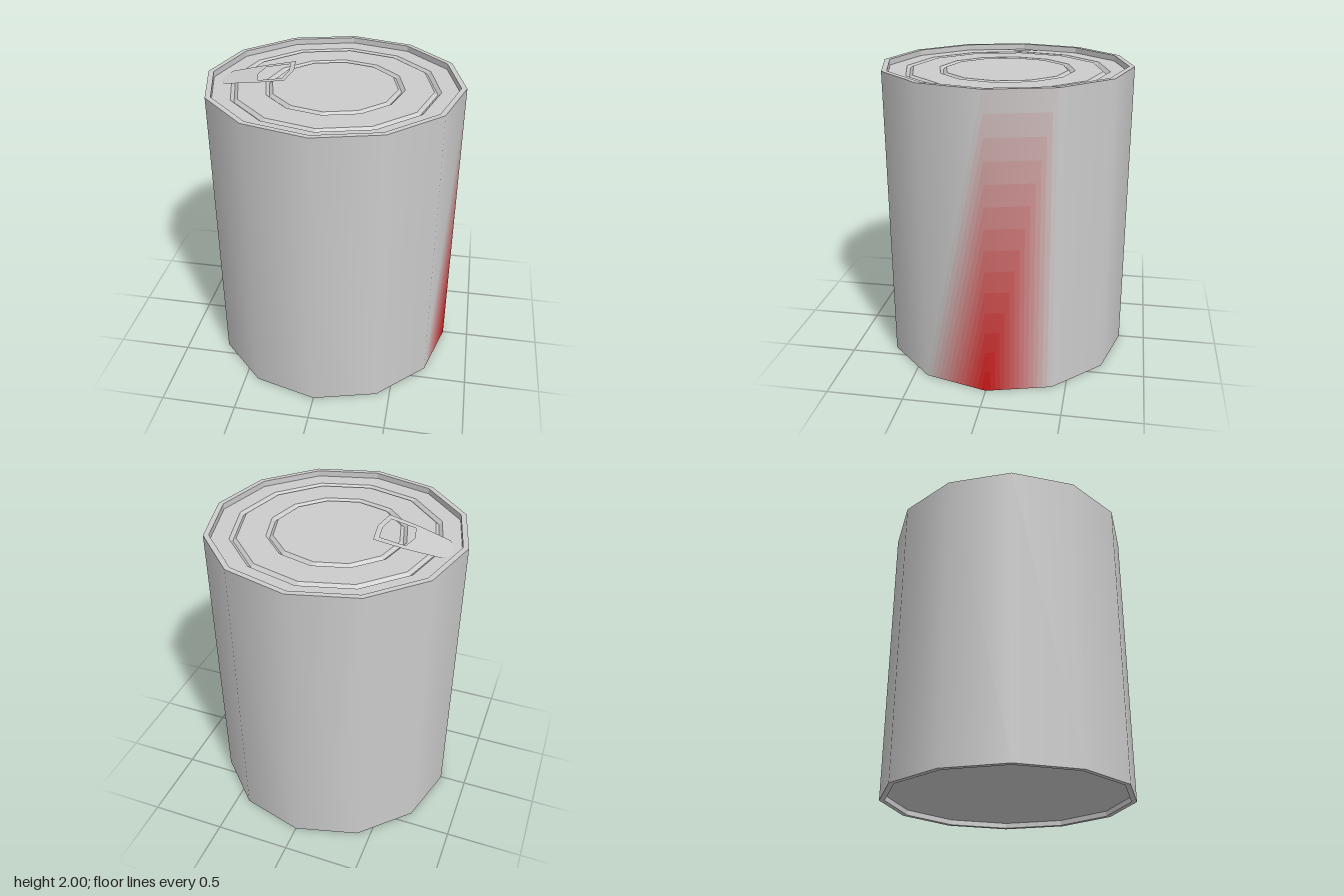
import * as THREE from 'three';

const SIDES = 12;
const STEP = (Math.PI * 2) / SIDES;
const R = 0.825;        // outer radius
const RIM = 0.79;       // inner radius of both rims
const H = 1.955;        // wall height
const LID = 1.917;      // height of the recessed lid
const BANDS = 14;       // colour steps in the red fade

const grey = () => new THREE.MeshStandardMaterial({ color: 0xcccccc });

function addMesh(group, name, geometry, material) {
  const mesh = new THREE.Mesh(geometry, material);
  mesh.name = name;
  group.add(mesh);
  return mesh;
}

// Turned part from [radius, height] pairs
function turned(points, segments = SIDES, start = 0) {
  const profile = points.map(([r, y]) => new THREE.Vector2(r, y));
  return new THREE.LatheGeometry(profile, segments, start, STEP * segments);
}

// Corner of the wall at column j
function corner(j, y) {
  return new THREE.Vector3(Math.sin(j * STEP) * R, y, Math.cos(j * STEP) * R);
}

// Triangles lying on the wall, with smooth radial normals
function wallPatch(points) {
  const geometry = new THREE.BufferGeometry().setFromPoints(points);
  const normals = points.flatMap((p) => new THREE.Vector3(p.x, 0, p.z).normalize().toArray());
  geometry.setAttribute('normal', new THREE.Float32BufferAttribute(normals, 3));
  return geometry;
}

function createWall() {
  const wall = new THREE.Group();
  wall.name = 'wall';

  // Plain part of the wall: ten of the twelve sides, plus half of one more
  addMesh(wall, 'greyWall', turned([[R, 0], [R, H]], SIDES - 2, STEP * 4), grey());
  addMesh(wall, 'greyWallCorner', wallPatch([corner(2, 0), corner(3, H), corner(2, H)]), grey());

  // Red stain fading from one bottom corner to the neighbouring corners
  const source = corner(3, 0);
  const ends = [corner(4, 0), corner(4, H), corner(3, H), corner(2, 0)];
  const at = (i, t) => source.clone().lerp(ends[i], t);
  for (let b = 0; b < BANDS; b++) {
    const t0 = b / BANDS, t1 = (b + 1) / BANDS;
    const points = [];
    for (let i = 0; i < ends.length - 1; i++) {
      points.push(at(i, t0), at(i, t1), at(i + 1, t1));
      if (b > 0) points.push(at(i, t0), at(i + 1, t1), at(i + 1, t0));
    }
    const material = grey();
    const fade = THREE.MathUtils.lerp(0.07, 0.8, (t0 + t1) / 2);
    material.color.setRGB(0.8, fade, fade, THREE.SRGBColorSpace);
    addMesh(wall, 'redFade' + (b + 1), wallPatch(points), material);
  }
  return wall;
}

// V-shaped groove pressed into the lid, listed from outside to inside
function groove(r) {
  return [[r + 0.022, LID], [r, LID - 0.018], [r - 0.022, LID]];
}

function createTab() {
  // Outline in plan (x, z), mirrored across the x axis
  const half = [[-0.73, 0.05], [-0.69, 0.11], [-0.48, 0.15], [-0.285, 0.165], [-0.26, 0]];
  const holeHalf = [[-0.495, 0], [-0.47, 0.112], [-0.31, 0.12], [-0.292, 0]];
  const loop = (pts) => [...pts, ...pts.filter((p) => p[1] > 0).reverse().map(([x, z]) => [x, -z])]
    .map(([x, z]) => new THREE.Vector2(x, z));
  const shape = new THREE.Shape(loop(half));
  shape.holes.push(new THREE.Path(loop(holeHalf)));

  // Lay the plate flat, then raise it towards the middle of the lid
  const geometry = new THREE.ShapeGeometry(shape).rotateX(-Math.PI / 2);
  const pos = geometry.attributes.position;
  for (let i = 0; i < pos.count; i++) pos.setY(i, 2 + (pos.getX(i) + 0.26) * 0.178);
  geometry.computeVertexNormals();
  const material = grey();
  material.side = THREE.DoubleSide;
  return [geometry, material];
}

export function createModel() {
  const can = new THREE.Group();
  can.name = 'can';
  can.add(createWall());

  // Lid: flat rim, inner wall, recessed disc with two grooves
  const lidMaterial = grey();
  lidMaterial.flatShading = true;
  addMesh(can, 'lid', turned([
    [R, H], [RIM, H], [RIM, LID], ...groove(0.65), ...groove(0.425), [0, LID],
  ]), lidMaterial);

  // Base: recessed disc inside a thin rim
  const baseMaterial = grey();
  baseMaterial.flatShading = true;
  addMesh(can, 'base', turned([[0, 0.035], [RIM, 0.035], [RIM, 0], [R, 0]]), baseMaterial);

  // Raised pull tab
  addMesh(can, 'pullTab', ...createTab());

  return can;
}
